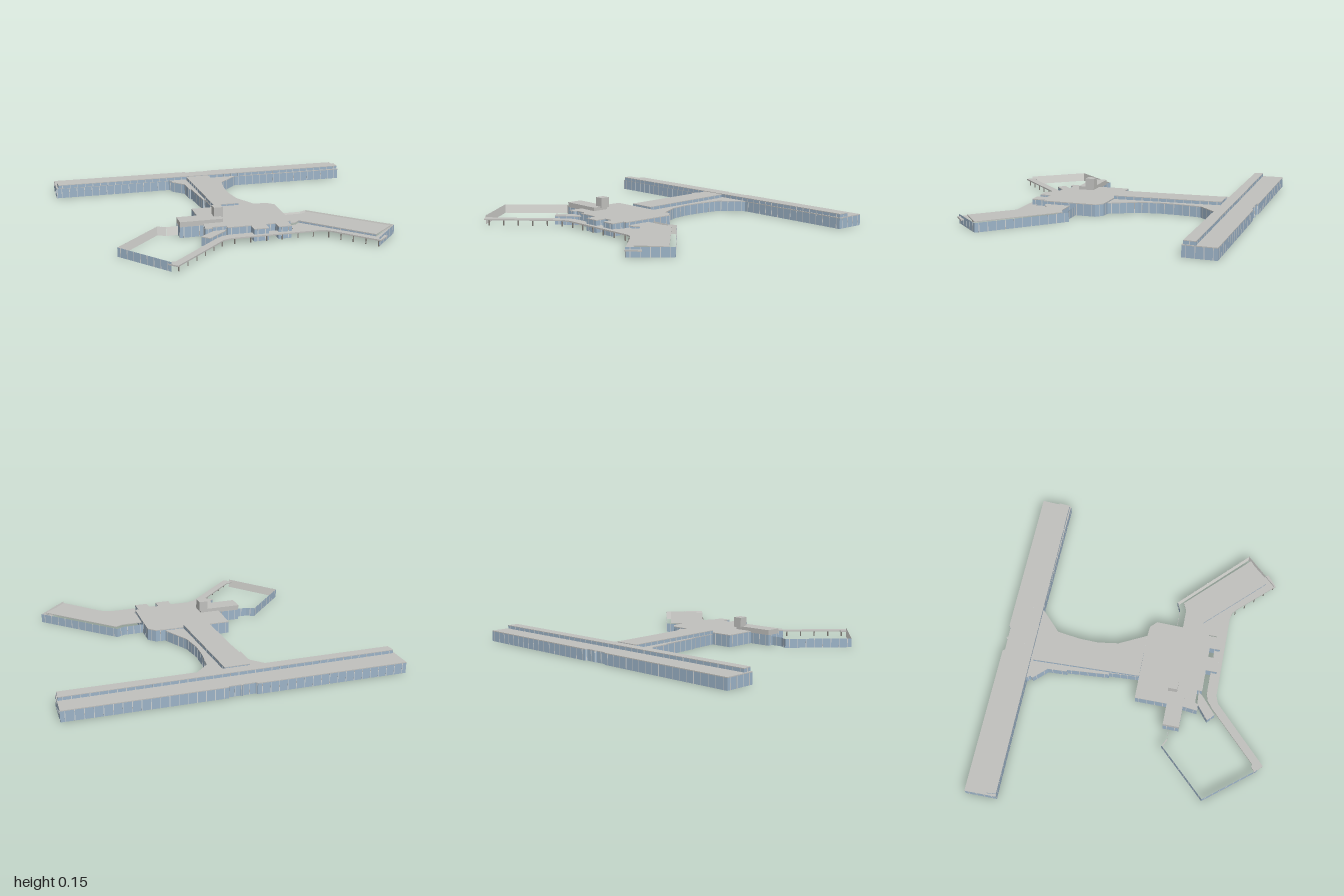
import * as THREE from 'three';
import { mergeGeometries } from 'three/addons/utils/BufferGeometryUtils.js';

const mat = (name, color) => {
  const m = new THREE.MeshStandardMaterial({ color });
  m.name = name;
  return m;
};

export function createModel() {
  const root = new THREE.Group();
  const roofMat = mat('roofGrey', 0xc0c0bd);
  const glass = mat('windowBlue', 0x9cb3c7);
  const frame = mat('mullionPale', 0xcdd1d2);
  const inner = mat('interiorWhite', 0xdededa);
  const post = mat('postGrey', 0x85827c);
  const T = 0.005; // roof plate thickness

  const add = (name, geo, m) => {
    const mesh = new THREE.Mesh(geo, m);
    mesh.name = name;
    root.add(mesh);
    return mesh;
  };

  // Flat plate from a plan outline [x, z], with its top at the given height
  const plate = (name, pts, top, thick = T, m = roofMat) => {
    const shape = new THREE.Shape(pts.map(([x, z]) => new THREE.Vector2(x, z)));
    const geo = new THREE.ExtrudeGeometry(shape, { depth: thick, bevelEnabled: false });
    geo.rotateX(Math.PI / 2).translate(0, top, 0);
    return add(name, geo, m);
  };

  // Glazed wall along a plan path that runs clockwise seen from above
  const wall = (name, pts, y0, y1, closed = false, pitch = 0.05) => {
    const out = [], inn = [], bars = [];
    const n = closed ? pts.length : pts.length - 1;
    const quad = (list, a, b, c, d) => list.push(...a, ...b, ...c, ...a, ...c, ...d);
    for (let i = 0; i < n; i++) {
      const [ax, az] = pts[i], [bx, bz] = pts[(i + 1) % pts.length];
      const len = Math.hypot(bx - ax, bz - az);
      const nx = (bz - az) / len, nz = -(bx - ax) / len; // outward
      quad(out, [ax, y0, az], [ax, y1, az], [bx, y1, bz], [bx, y0, bz]);
      const o = 0.002;
      quad(inn, [ax - nx * o, y0, az - nz * o], [bx - nx * o, y0, bz - nz * o],
        [bx - nx * o, y1, bz - nz * o], [ax - nx * o, y1, az - nz * o]);
      // window bars
      const count = Math.max(1, Math.round(len / pitch));
      for (let k = 0; k < count; k++) {
        const t = (k + 0.5) / count;
        const g = new THREE.BoxGeometry(0.004, y1 - y0, 0.002);
        g.rotateY(Math.atan2(nx, nz));
        g.translate(ax + (bx - ax) * t, (y0 + y1) / 2, az + (bz - az) * t);
        bars.push(g);
      }
    }
    const make = (arr) => {
      const g = new THREE.BufferGeometry();
      g.setAttribute('position', new THREE.Float32BufferAttribute(arr, 3));
      g.computeVertexNormals();
      return g;
    };
    add(name + 'Glass', make(out), glass);
    add(name + 'Inside', make(inn), inner);
    add(name + 'Bars', mergeGeometries(bars), frame);
  };

  const block = (name, x0, x1, y0, y1, z0, z1, m = roofMat) =>
    add(name, new THREE.BoxGeometry(x1 - x0, y1 - y0, z1 - z0)
      .translate((x0 + x1) / 2, (y0 + y1) / 2, (z0 + z1) / 2), m);

  // Rear concourse and the flared neck leading to the hall
  const pier = [
    [-0.1, 0.02], [-0.11, -0.17], [-0.12, -0.17], [-0.14, -0.43], [-0.15, -0.43], [-0.155, -0.55],
    [-0.23, -0.63], [-0.22, -0.645], [-0.24, -0.67], [-0.99, -0.675], [-1, -0.675], [-1, -0.865],
    [-0.09, -0.855], [-0.08, -0.842], [-0.01, -0.842], [0, -0.852], [0.01, -0.842], [0.07, -0.842],
    [0.08, -0.853], [1, -0.842], [0.99, -0.652], [0.23, -0.665], [0.1, -0.54], [0.08, -0.4],
    [0.076, -0.28], [0.095, -0.15], [0.18, 0.02],
  ];
  plate('concourseRoof', pier, 0.068);
  wall('concourseWall', pier, 0, 0.063);

  // Raised clerestory along the concourse
  const strip = [[-0.99, -0.728], [0.99, -0.728], [0.985, -0.66], [-0.985, -0.672]];
  plate('concourseClerestoryRoof', strip, 0.09, 0.004);
  wall('concourseClerestory', strip, 0.066, 0.086, true);

  // Raised clerestory along the neck
  const spine = [[-0.12, -0.65], [0.032, -0.65], [0.06, 0.02], [-0.1, 0.02]];
  plate('neckClerestoryRoof', spine, 0.09, 0.004);
  wall('neckClerestory', spine, 0.066, 0.086, true);

  // Main hall with two entrance bays
  const hall = [
    [0.18, 0.02], [0.24, 0.025], [0.28, 0.065], [0.272, 0.4], [0.25, 0.4], [0.25, 0.485], [0.17, 0.485],
    [0.17, 0.42], [0.11, 0.42], [0.11, 0.49], [0.02, 0.49], [0.02, 0.42], [-0.12, 0.42],
    [-0.12, 0.39], [-0.2, 0.39], [-0.21, 0.41], [-0.25, 0.41], [-0.24, 0.32], [-0.24, 0.02], [-0.1, 0.02],
  ];
  plate('hallRoof', hall, 0.076);
  wall('hallWall', hall, 0, 0.071);
  wall('hallLintel', [[-0.1, 0.02], [0.18, 0.02]], 0.063, 0.071);

  // Side block and control tower
  wall('sideBlockWall', [[-0.24, 0.32], [-0.38, 0.32], [-0.38, 0.22], [-0.24, 0.22]], 0, 0.066);
  block('sideBlock', -0.38, -0.12, 0.066, 0.097, 0.22, 0.32);
  block('tower', -0.163, -0.108, 0.09, 0.152, 0.212, 0.27);

  // Small angled stub beside the hall
  const stub = [[-0.12, 0.4], [-0.14, 0.425], [-0.25, 0.52], [-0.292, 0.48], [-0.2, 0.405]];
  plate('stubRoof', stub, 0.056);
  wall('stubWall', stub.slice(1), 0, 0.051);

  // Gate wing on the +x side: roof, detached outer glass and inner upstand
  plate('gateWingRoof', [
    [0.27, 0.23], [0.4, 0.23], [0.45, 0.207], [0.828, 0.585], [0.685, 0.705], [0.34, 0.352],
    [0.31, 0.38], [0.27, 0.385],
  ], 0.056);
  wall('gateWingWall', [[0.275, 0.19], [0.4, 0.19], [0.45, 0.167], [0.86, 0.57], [0.68, 0.76]], 0, 0.055);
  wall('gateWingUpstand', [[0.685, 0.705], [0.34, 0.352]], 0.038, 0.051);

  // Roofless gate wing on the -x side
  wall('openWingWall', [[-0.54, 0.83], [-0.78, 0.53], [-0.5, 0.235], [-0.45, 0.26], [-0.38, 0.26]], 0, 0.055);

  // Elevated forecourt deck
  plate('forecourtDeck', [
    [-0.51, 0.86], [-0.555, 0.815], [-0.525, 0.79], [-0.51, 0.795], [-0.21, 0.5], [-0.165, 0.465],
    [-0.12, 0.452], [0.27, 0.452], [0.27, 0.385], [0.31, 0.38], [0.34, 0.352], [0.685, 0.705],
    [0.828, 0.585], [0.735, 0.69], [0.755, 0.71], [0.685, 0.77], [0.48, 0.55], [0.45, 0.525],
    [0.41, 0.513], [-0.12, 0.513], [-0.17, 0.53],
  ], 0.042, 0.008);

  // Posts under the deck
  const posts = [];
  const postRow = (x0, z0, x1, z1, n) => {
    for (let i = 0; i < n; i++) {
      const t = i / (n - 1);
      posts.push(new THREE.BoxGeometry(0.006, 0.035, 0.006)
        .translate(x0 + (x1 - x0) * t, 0.0175, z0 + (z1 - z0) * t));
    }
  };
  postRow(-0.5, 0.83, -0.18, 0.52, 6);
  postRow(-0.1, 0.5, 0.38, 0.5, 6);
  postRow(0.46, 0.54, 0.68, 0.755, 5);
  add('deckPosts', mergeGeometries(posts), post);

  return root;
}
